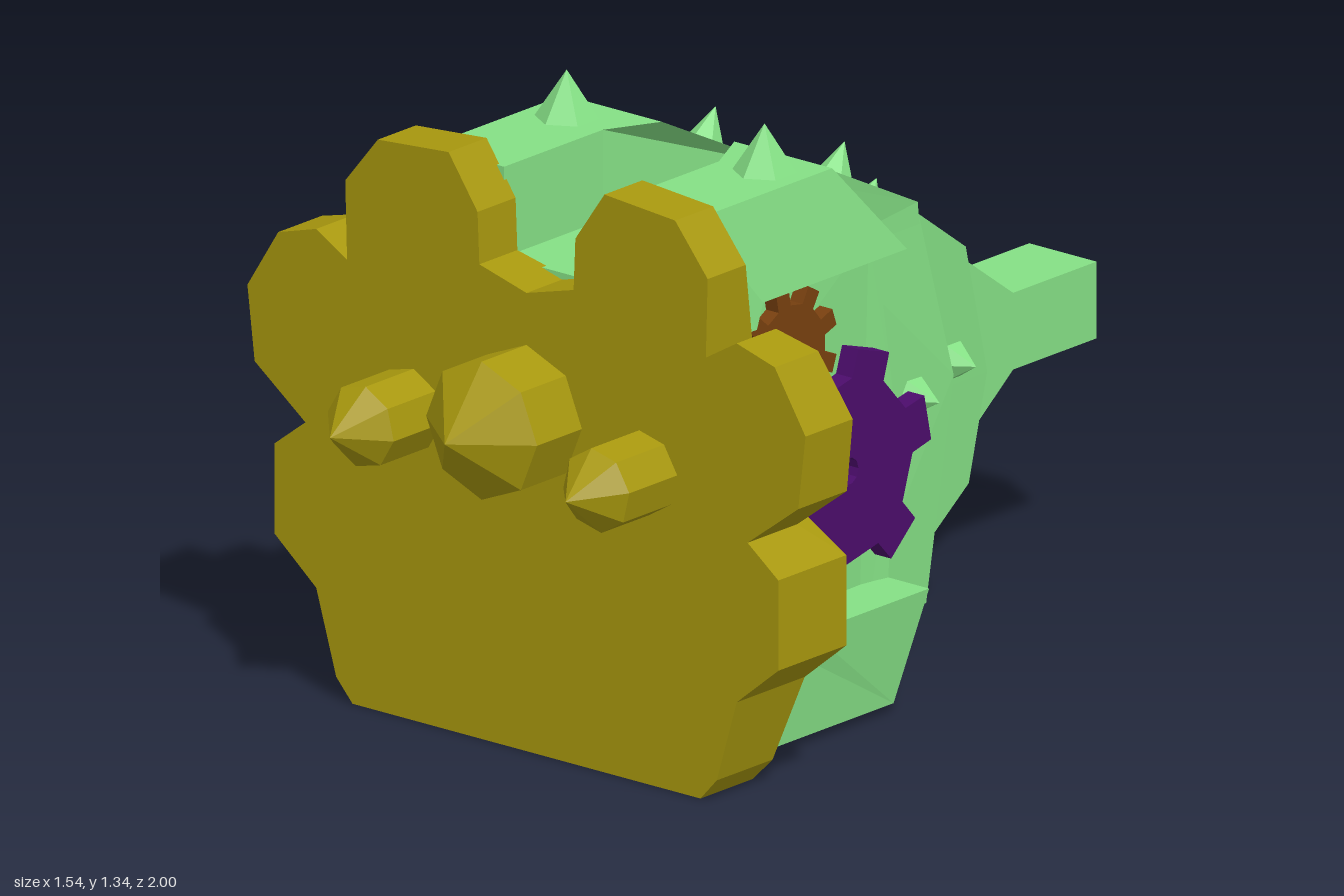
import * as THREE from 'three';

const mat = (color) => new THREE.MeshStandardMaterial({ color, flatShading: true });

// Linear interpolation through [key, value] pairs with ascending keys
function ramp(pairs, k) {
  if (k <= pairs[0][0]) return pairs[0][1];
  for (let i = 1; i < pairs.length; i++) {
    const [a, va] = pairs[i - 1], [b, vb] = pairs[i];
    if (k <= b) return va + ((vb - va) * (k - a)) / (b - a);
  }
  return pairs[pairs.length - 1][1];
}

// Side profile given as [z, y], extruded across x between lo(y, z) and hi(y, z)
function slab(profile, lo, hi) {
  const shape = new THREE.Shape(profile.map(([z, y]) => new THREE.Vector2(-z, y)));
  const geo = new THREE.ExtrudeGeometry(shape, { depth: 1, bevelEnabled: false });
  geo.rotateY(Math.PI / 2);
  const p = geo.attributes.position;
  for (let i = 0; i < p.count; i++) {
    const f = p.getX(i) > 0.5 ? hi : lo;
    p.setX(i, f(p.getY(i), p.getZ(i)));
  }
  geo.computeVertexNormals();
  return geo;
}

// Toothed wheel in the side plane, with an axle hole
function gearGeometry(z, y, root, tip, teeth, phase, hole, x0, x1) {
  const pts = [];
  const step = (Math.PI * 2) / teeth;
  for (let i = 0; i < teeth; i++) {
    const a = phase + i * step;
    for (const [r, da] of [[root, -0.25], [tip, -0.19], [tip, 0.19], [root, 0.25]]) {
      const t = a + da * step;
      pts.push(new THREE.Vector2(-z + r * Math.cos(t), y + r * Math.sin(t)));
    }
  }
  const shape = new THREE.Shape(pts);
  shape.holes.push(new THREE.Path().absarc(-z, y, hole, 0, Math.PI * 2, true));
  const geo = new THREE.ExtrudeGeometry(shape, { depth: x1 - x0, bevelEnabled: false, curveSegments: 5 });
  return geo.rotateY(Math.PI / 2).translate(x0, 0, 0);
}

export function createModel() {
  const group = new THREE.Group();
  const green = mat(0x85e085), gold = mat(0xa8980e), purple = mat(0x4b0c6b), rust = mat(0x78400f);
  const add = (name, geo, material) => {
    const m = new THREE.Mesh(geo, material);
    m.name = name;
    group.add(m);
    return m;
  };

  // Lobed front plate, its back face stepping with height
  const half = [[0.48, 0], [0.525, 0.05], [0.58, 0.235], [0.695, 0.33], [0.695, 0.53], [0.61, 0.595],
    [0.75, 0.7], [0.77, 0.865], [0.685, 1.0], [0.58, 1.03], [0.495, 0.98], [0.5, 1.155],
    [0.41, 1.265], [0.215, 1.28], [0.135, 1.165], [0.13, 1.05]];
  const outline = [...half, [0, 1.015], ...half.slice().reverse().map(([x, y]) => [-x, y])];
  const plate = new THREE.ExtrudeGeometry(
    new THREE.Shape(outline.map(([x, y]) => new THREE.Vector2(x, y))), { depth: 1, bevelEnabled: false });
  const backZ = [[0, 0.565], [0.235, 0.515], [0.53, 0.515], [0.595, 0.575], [0.98, 0.585], [1.04, 0.612]];
  const pp = plate.attributes.position;
  for (let i = 0; i < pp.count; i++) pp.setZ(i, pp.getZ(i) > 0.5 ? 0.735 : ramp(backZ, pp.getY(i)));
  plate.computeVertexNormals();
  add('frontPlate', plate, gold);

  // Pointed studs on the plate
  for (const [x, y, r, shoulder, tip] of [[0, 0.747, 0.153, 0.88, 1], [0.325, 0.688, 0.092, 0.89, 0.99], [-0.325, 0.688, 0.092, 0.89, 0.99]]) {
    const turn = x === 0 ? 0 : Math.sign(x) * 0.15;
    const shaft = new THREE.CylinderGeometry(r, r, shoulder - 0.7, 8, 1, true);
    const point = new THREE.ConeGeometry(r, tip - shoulder, 8, 1, true);
    shaft.rotateY(turn).rotateX(Math.PI / 2).translate(x, y, (shoulder + 0.7) / 2);
    point.rotateY(turn).rotateX(Math.PI / 2).translate(x, y, (shoulder + tip) / 2);
    add('studShaft', shaft, gold);
    add('studPoint', point, gold);
  }

  // Body bands, each narrower than the one ahead of it
  const bands = [
    ['frontBand', [[0, 0.32], [0.3, 0.34], [0.62, 0.34], [1.03, 0.33]],
      [[0.62, 0.02], [0.62, 0.26], [0.62, 0.62], [0.62, 1.03], [0.015, 1.03], [-0.01, 1.0], [-0.06, 0.62], [-0.04, 0.26], [0.04, 0.02]]],
    ['middleBand', [[0, 0.25], [0.62, 0.27], [1.03, 0.26]],
      [[0.1, 0.02], [0.1, 0.62], [0.1, 1.03], [-0.22, 1.03], [-0.33, 0.62], [-0.26, 0.13], [0.04, 0.02]]],
    ['rearBand', [[0.1, 0.16], [0.55, 0.175], [1.03, 0.19]],
      [[-0.1, 0.13], [-0.1, 0.55], [-0.1, 1.03], [-0.22, 1.03], [-0.47, 0.849], [-0.55, 0.55], [-0.5, 0.314], [-0.26, 0.13]]],
    ['tail', [[0, 0.093]],
      [[-0.15, 0.13], [-0.15, 1.03], [-0.22, 1.03], [-0.73, 0.66], [-1, 0.66], [-1, 0.49], [-0.73, 0.49], [-0.26, 0.13]]],
  ];
  for (const [name, width, profile] of bands) {
    add(name, slab(profile, (y) => -ramp(width, y), (y) => ramp(width, y)), green);
  }

  // Paired parts: top prongs with a channel between, shoulders, lower blocks
  const channel = (y, z) => ramp([[0.18, 0.1], [0.3, 0.16]], z);
  const pairs = [
    ['topProng', channel, (y) => ramp([[1.03, 0.265], [1.23, 0.295]], y),
      [[0.62, 0.98], [0.62, 1.23], [0.3, 1.23], [0.18, 1.23], [-0.22, 1.03], [-0.225, 0.98], [0.18, 0.98], [0.3, 0.98]]],
    ['shoulder', () => 0.25, (y) => ramp([[1.01, 0.41], [1.23, 0.37]], y),
      [[0.62, 0.955], [0.62, 1.23], [0.18, 1.23], [-0.015, 1.01], [0.45, 1.01], [0.47, 0.955]]],
    ['lowerBlock', () => 0.2, (y) => ramp([[0.02, 0.42], [0.26, 0.45]], y),
      [[0.62, 0.02], [0.62, 0.36], [0.37, 0.36], [0.34, 0.26], [-0.04, 0.26], [0.04, 0.02]]],
  ];
  for (const [name, inner, outer, profile] of pairs) {
    add(name, slab(profile, inner, outer), green);
    add(name, slab(profile, (y, z) => -outer(y, z), (y, z) => -inner(y, z)), green);
  }

  // Gears in the side recesses
  for (const [big, small] of [[[0.385, 0.43], [0.34, 0.375]], [[-0.41, -0.365], [-0.375, -0.33]]]) {
    add('largeGear', gearGeometry(0.195, 0.575, 0.205, 0.265, 6, 1.26, 0.03, ...big), purple);
    add('smallGear', gearGeometry(0.32, 0.85, 0.113, 0.152, 9, 0.35, 0.014, ...small), rust);
  }

  // Spikes: base position, direction, radius, height
  const spikes = [[[0, 0.935, -0.365], [0, 0.81, -0.59], 0.032, 0.055]];
  for (const s of [1, -1]) {
    spikes.push(
      [[s * 0.273, 1.225, 0.285], [0, 1, 0], 0.072, 0.11],
      [[s * 0.178, 1.11, -0.05], [0, 0.89, -0.45], 0.042, 0.078],
      [[s * 0.265, 0.603, -0.208], [s, 0, 0], 0.045, 0.07],
      [[s * 0.17, 0.603, -0.438], [s, 0, 0], 0.05, 0.07]);
  }
  const up = new THREE.Vector3(0, 1, 0);
  for (const [pos, dir, r, h] of spikes) {
    const spike = add('spike', new THREE.ConeGeometry(r, h, 6).translate(0, h / 2, 0), green);
    spike.position.set(...pos);
    spike.quaternion.setFromUnitVectors(up, new THREE.Vector3(...dir).normalize());
  }
  return group;
}
